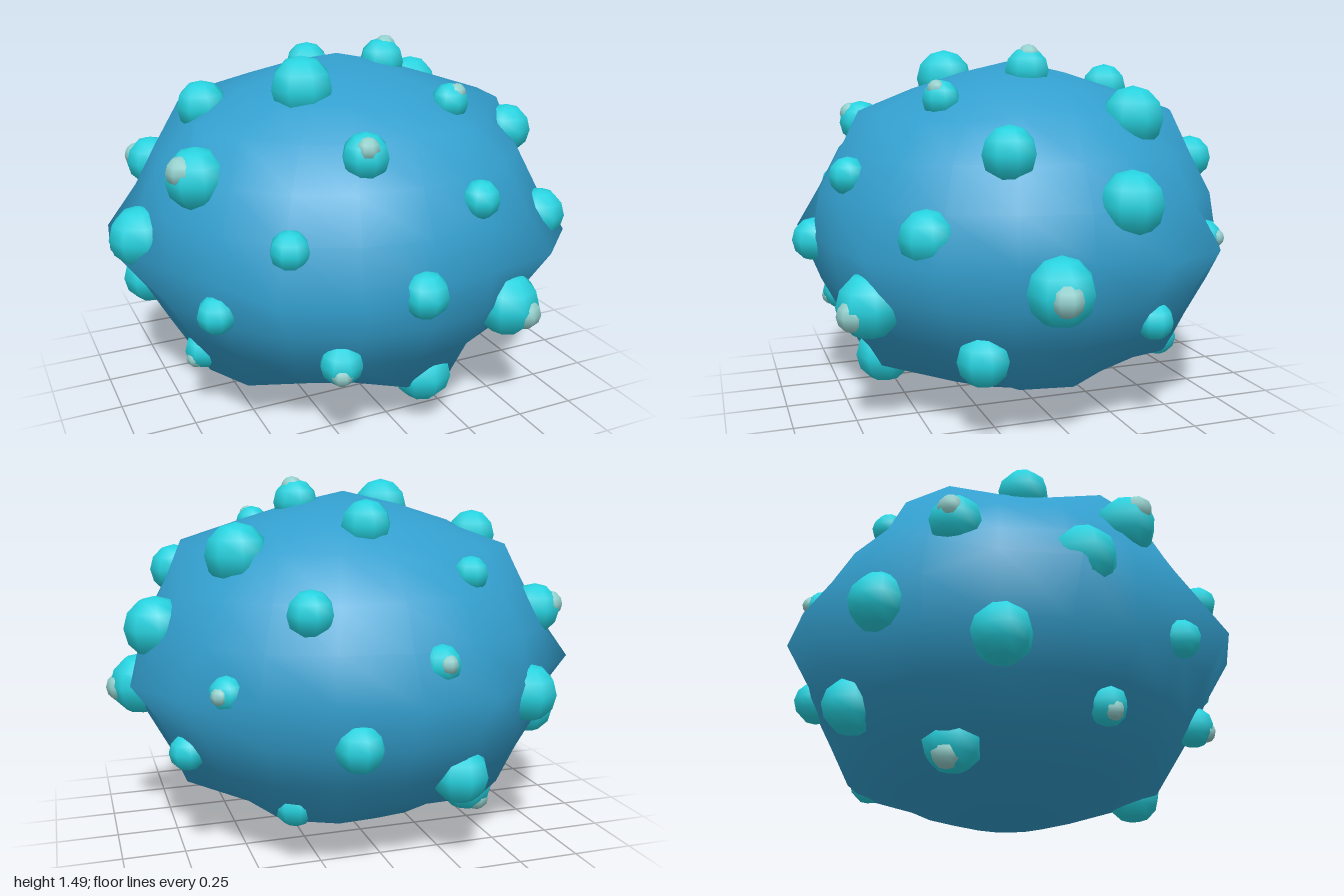
import * as THREE from 'three';

const bodyMat = new THREE.MeshStandardMaterial({ color: 0x339fce });
bodyMat.name = 'blue skin';
const bumpMat = new THREE.MeshStandardMaterial({ color: 0x26d2df });
bumpMat.name = 'turquoise';
const tipMat = new THREE.MeshStandardMaterial({ color: 0x92cfcc });
tipMat.name = 'pale tip';

const CENTER_Y = 0.715;
const BASE = new THREE.Vector3(0.89, 0.685, 0.87);
const PEAK = new THREE.Vector3(0.99, 0.72, 0.945);

// Squashed sphere with pairs of raised corners: five round the equator,
// five in between on the rings half way to each pole, and the poles themselves
function makeBody() {
  const cols = 20, rows = 12;
  const geo = new THREE.SphereGeometry(1, cols, rows);
  const p = geo.attributes.position, n = geo.attributes.normal;
  const v = new THREE.Vector3();
  for (let i = 0; i < p.count; i++) {
    v.fromBufferAttribute(p, i);
    const row = Math.floor(i / (cols + 1));
    const lobe = Math.cos(5 * Math.atan2(v.z, v.x) - 1.25 * Math.PI);
    const pole = row === 0 || row === rows;
    const raised = pole || (row === rows / 2 && lobe > 0) || ((row === 3 || row === 9) && lobe < 0);
    const size = raised ? PEAK : BASE;
    p.setXYZ(i, v.x * size.x, pole ? v.y * CENTER_Y : v.y * size.y, v.z * size.z);
    // plain ellipsoid normals keep the skin smooth
    v.divide(BASE).normalize();
    n.setXYZ(i, v.x, v.y, v.z);
  }
  const mesh = new THREE.Mesh(geo, bodyMat);
  mesh.name = 'body';
  mesh.position.y = CENTER_Y;
  return mesh;
}

// Bump radii, from the top of the spiral to the bottom
const RADII = [
  0.095, 0.125, 0.1, 0.075, 0.105, 0.125, 0.09, 0.07, 0.105, 0.12, 0.09, 0.075,
  0.105, 0.125, 0.075, 0.075, 0.105, 0.125, 0.07, 0.09, 0.115, 0.13, 0.075, 0.095,
  0.13, 0.115, 0.075, 0.085, 0.115, 0.105, 0.08, 0.085, 0.12, 0.115,
];

export function createModel() {
  const model = new THREE.Group();
  model.name = 'bumpyBlob';
  model.add(makeBody());

  const ballGeo = new THREE.SphereGeometry(1, 8, 6);
  const golden = Math.PI * (3 - Math.sqrt(5));

  // Bumps on a golden-angle spiral; every third one has a pale tip
  RADII.forEach((r, i) => {
    const y = 0.972 - 0.0525 * i;
    const rho = Math.sqrt(1 - y * y);
    const a = i * golden;
    const dir = new THREE.Vector3(rho * Math.cos(a), y, rho * Math.sin(a));

    const bump = new THREE.Group();
    bump.name = 'bump' + (i + 1);
    bump.position.set(dir.x * 0.88, CENTER_Y + dir.y * 0.69, dir.z * 0.85 + 0.01);

    const ball = new THREE.Mesh(ballGeo, bumpMat);
    ball.name = 'bumpBall';
    ball.scale.setScalar(r);
    bump.add(ball);

    if (i % 3 === 0) {
      const tip = new THREE.Mesh(ballGeo, tipMat);
      tip.name = 'bumpTip';
      tip.scale.setScalar(r * 0.5);
      tip.position.copy(dir).multiplyScalar(r * 0.64);
      bump.add(tip);
    }
    model.add(bump);
  });
  return model;
}
